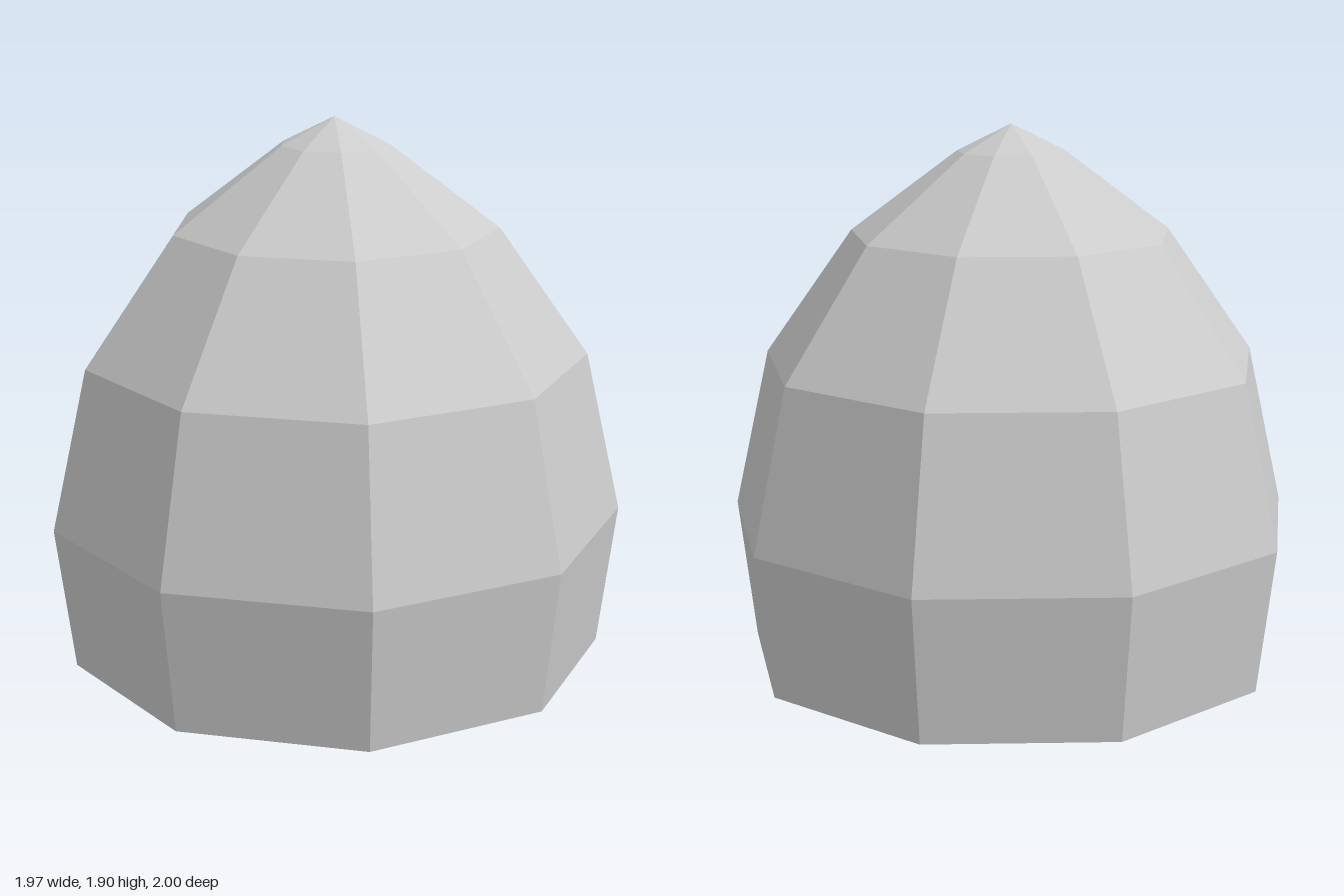
import * as THREE from 'three';

// Open-bottomed nine-sided pointed dome
export function createModel() {
  const group = new THREE.Group();
  group.name = 'facetedDome';

  const paleGrey = new THREE.MeshStandardMaterial({
    color: 0xcccccc, flatShading: true, side: THREE.DoubleSide,
  });
  paleGrey.name = 'paleGrey';

  // Radius and height of each ring, from the open base to the tip
  const profile = [
    [0.953, 0], [1.015, 0.51], [0.885, 1.08], [0.57, 1.525], [0.19, 1.81], [0, 1.905],
  ].map(([r, y]) => new THREE.Vector2(r, y));

  // One corner points along +x; the shift centres the odd-sided outline
  const shell = new THREE.Mesh(new THREE.LatheGeometry(profile, 9, Math.PI / 2), paleGrey);
  shell.name = 'domeShell';
  shell.position.x = -0.03;
  group.add(shell);

  return group;
}
